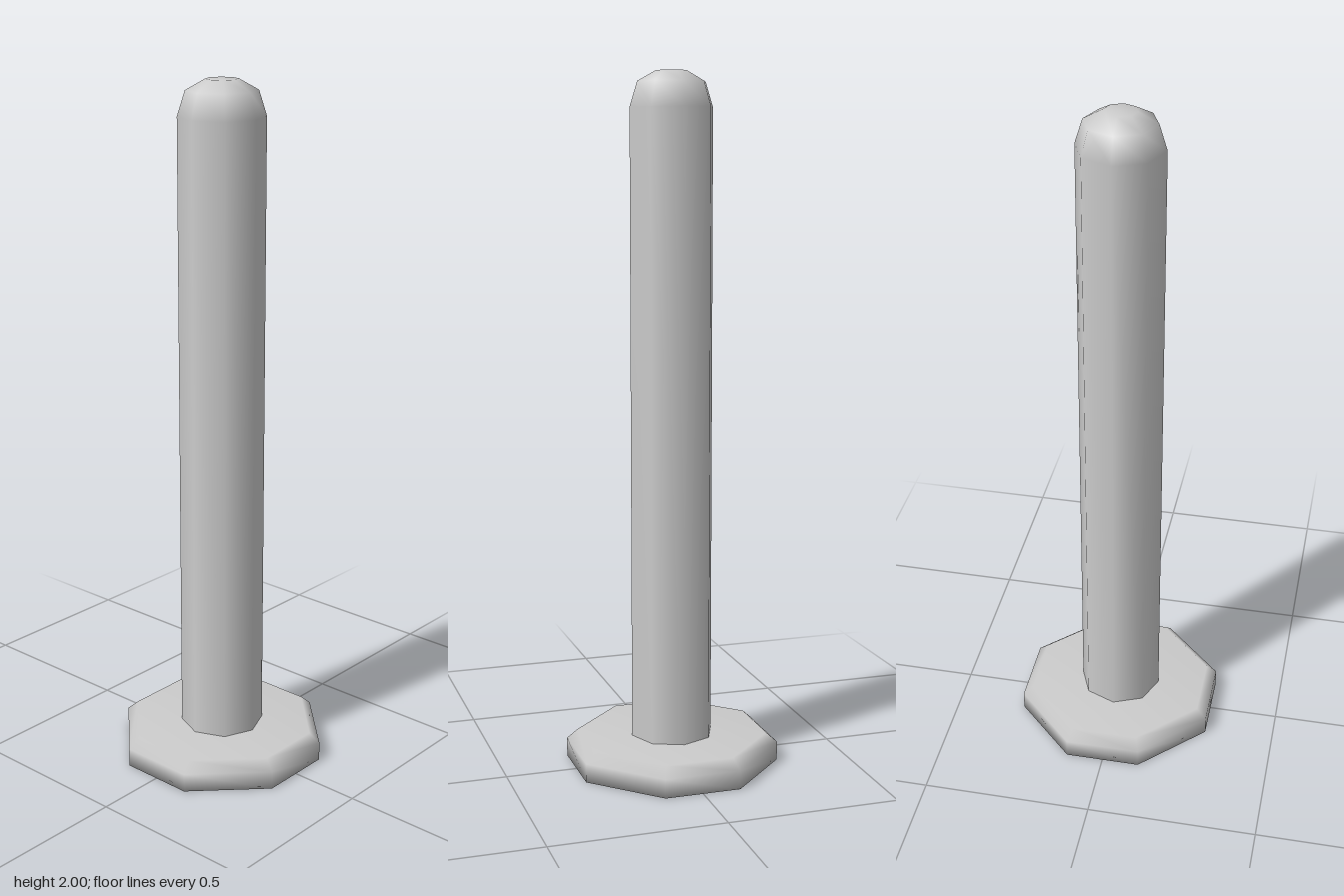
import * as THREE from 'three';

const SIDES = 8;

// Smooth eight-sided turned part from [radius, height] pairs, bottom to top
function turned(name, profile, phiStart) {
  const points = profile.map(([r, y]) => new THREE.Vector2(r, y));
  const mesh = new THREE.Mesh(
    new THREE.LatheGeometry(points, SIDES, phiStart),
    new THREE.MeshStandardMaterial({ color: 0xcccccc })
  );
  mesh.name = name;
  return mesh;
}

export function createModel() {
  const group = new THREE.Group();
  group.name = 'bollard';

  // Bevelled base plate, flat sides facing the axes
  const base = turned('basePlate', [
    [0, 0], [0.312, 0], [0.312, 0.055], [0.28, 0.083], [0, 0.083],
  ], Math.PI / 8);

  // Make the four axis-facing sides slightly shorter than the diagonal ones
  const pos = base.geometry.attributes.position;
  for (let i = 0; i < pos.count; i++) {
    const x = pos.getX(i), z = pos.getZ(i);
    const r = Math.hypot(x, z);
    const long = r * 0.9355, short = r * 0.355;
    const wide = Math.abs(x) > Math.abs(z);
    pos.setX(i, Math.sign(x) * (wide ? long : short));
    pos.setZ(i, Math.sign(z) * (wide ? short : long));
  }
  group.add(base);

  // Post with a rounded top, corners on the axes
  group.add(turned('post', [
    [0.122, 0.08], [0.122, 1.9], [0.1, 1.97], [0.046, 2], [0, 2],
  ], 0));

  return group;
}
